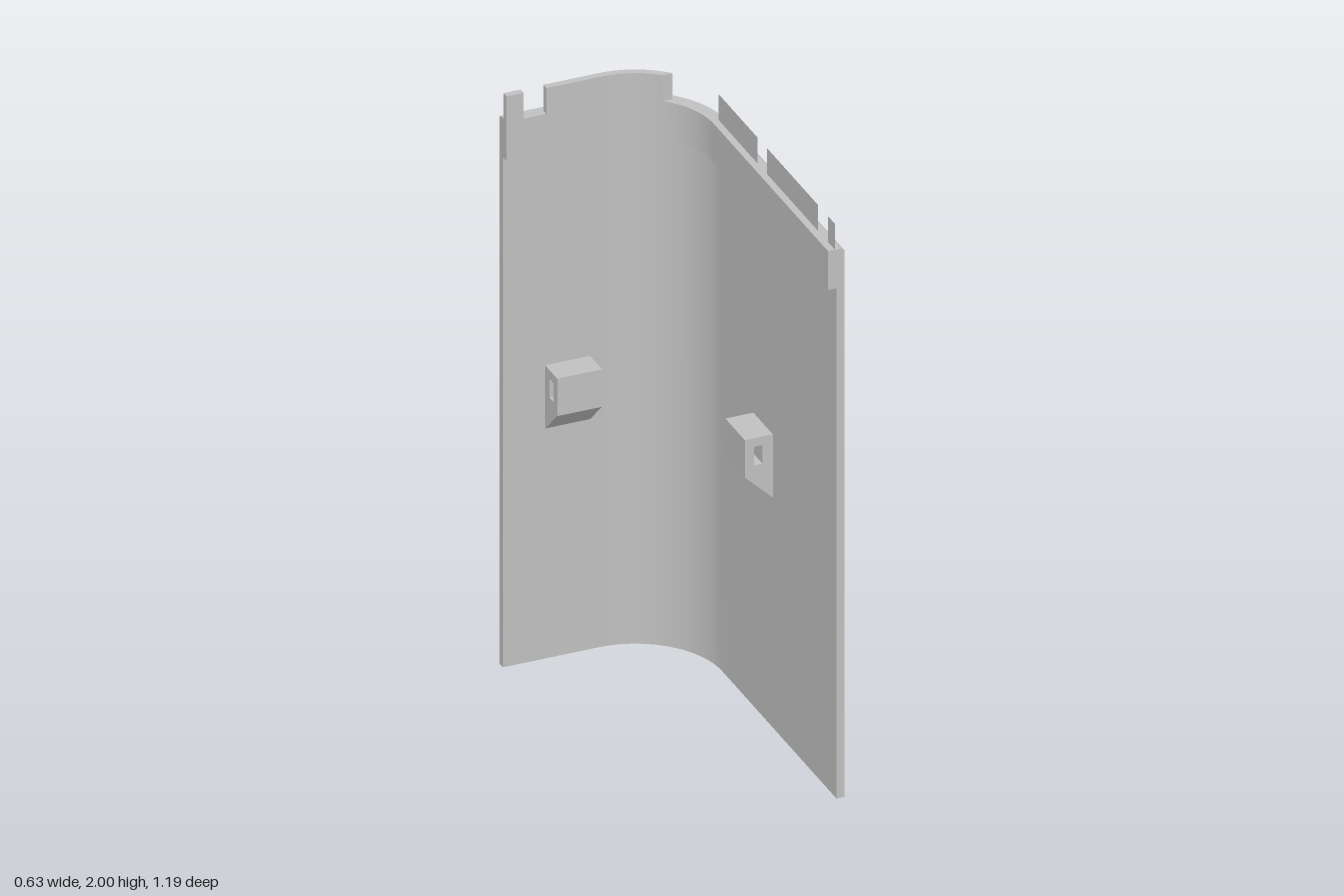
import * as THREE from 'three';
import { toCreasedNormals } from 'three/addons/utils/BufferGeometryUtils.js';

const CZ = -0.28;      // corner bend centre is at x = 0, z = CZ
const LEFT = -0.315, FRONT = 0.594;
const R_OUT = 0.315, R_WALL = 0.288, R_TOOTH = 0.283, R_IN = 0.26;
const Y_TOP = 1.91, Y_TIP = 2;

// L-shaped band between two offsets of the bend; plan drawn as (x, -z)
function bandShape(r0, r1) {
  const s = new THREE.Shape();
  s.moveTo(LEFT, r1 - CZ);
  s.lineTo(0, r1 - CZ);
  s.absarc(0, -CZ, r1, Math.PI / 2, 0, true);
  s.lineTo(r1, -FRONT);
  s.lineTo(r0, -FRONT);
  s.lineTo(r0, -CZ);
  s.absarc(0, -CZ, r0, 0, Math.PI / 2, false);
  s.lineTo(LEFT, r0 - CZ);
  s.closePath();
  return s;
}

// Extrude a plan shape upwards from y0 to y1
function extrudeUp(shape, y0, y1, steps = 1) {
  const g = new THREE.ExtrudeGeometry(shape, { depth: y1 - y0, steps, bevelEnabled: false, curveSegments: 24 });
  return g.rotateX(-Math.PI / 2).translate(0, y0, 0);
}

export function createModel() {
  const group = new THREE.Group();
  const grey = new THREE.MeshStandardMaterial({ color: 0xc0c0c0 });
  grey.name = 'panel grey';
  const sheet = grey;
  sheet.side = THREE.DoubleSide;

  const add = (name, geometry) => {
    const mesh = new THREE.Mesh(geometry, grey);
    mesh.name = name;
    group.add(mesh);
    return mesh;
  };
  const creased = (g) => toCreasedNormals(g, Math.PI / 7);

  // Curved wall, with a small chamfer along its outer top edge
  const wall = extrudeUp(bandShape(R_WALL, R_OUT), 0, Y_TOP, 2);
  const p = wall.attributes.position;
  for (let i = 0; i < p.count; i++) {
    const x = p.getX(i), y = p.getY(i), z = p.getZ(i);
    if (y > 0.5 && y < 1.5) p.setY(i, Y_TOP - 0.01);
    if (y < 1.5) continue;
    const dx = Math.max(x, 0), dz = Math.min(z - CZ, 0);
    const r = Math.hypot(dx, dz);
    if (r > R_OUT - 0.005) {
      p.setX(i, x - (dx / r) * 0.01);
      p.setZ(i, z - (dz / r) * 0.01);
    }
  }
  add('wall', creased(wall));

  // Thickened band inside the top edge
  add('innerLip', creased(extrudeUp(bandShape(R_IN, R_WALL), 1.775, Y_TOP)));

  // Solid tabs on the back edge: a short one and one that follows the bend
  const endTab = new THREE.BoxGeometry(0.057, Y_TIP - Y_TOP, R_TOOTH - R_IN);
  endTab.translate(LEFT + 0.0285, (Y_TIP + Y_TOP) / 2, CZ - (R_TOOTH + R_IN) / 2);
  add('endTab', endTab);

  const cut = 0.193; // the curved tab ends flat, at this distance behind the bend centre
  const tab = new THREE.Shape();
  tab.moveTo(-0.183, R_TOOTH - CZ);
  tab.lineTo(0, R_TOOTH - CZ);
  tab.absarc(0, -CZ, R_TOOTH, Math.PI / 2, Math.asin(cut / R_TOOTH), true);
  tab.absarc(0, -CZ, R_IN, Math.asin(cut / R_IN), Math.PI / 2, false);
  tab.lineTo(-0.183, R_IN - CZ);
  tab.closePath();
  add('curvedTab', creased(extrudeUp(tab, Y_TOP, Y_TIP)));

  // Thin sheet tabs along the side edge
  [[-0.298, 0], [0.072, 0.465], [0.54, FRONT]].forEach(([z0, z1], i) => {
    const g = new THREE.PlaneGeometry(z1 - z0, Y_TIP - Y_TOP);
    g.rotateY(Math.PI / 2).translate(R_TOOTH, (Y_TIP + Y_TOP) / 2, (z0 + z1) / 2);
    add('sideTab' + (i + 1), g);
  });

  // Hooks on the inner faces: sloped underside and a slot straight through
  const hook = new THREE.Shape([[0.195, 1.02], [0.195, 0.89], [R_WALL, 0.8], [R_WALL, 1.02]]
    .map(([x, y]) => new THREE.Vector2(x, y)));
  hook.holes.push(new THREE.Path([[0.225, 0.925], [0.225, 0.99], [0.254, 0.99], [0.254, 0.925]]
    .map(([x, y]) => new THREE.Vector2(x, y))));
  const hookGeometry = new THREE.ExtrudeGeometry(hook, { depth: 0.149, bevelEnabled: false });
  add('sideHook', hookGeometry).position.z = -0.042;
  const backHook = add('backHook', hookGeometry);
  backHook.rotation.y = Math.PI / 2;
  backHook.position.set(-0.175, 0, CZ);

  return group;
}
